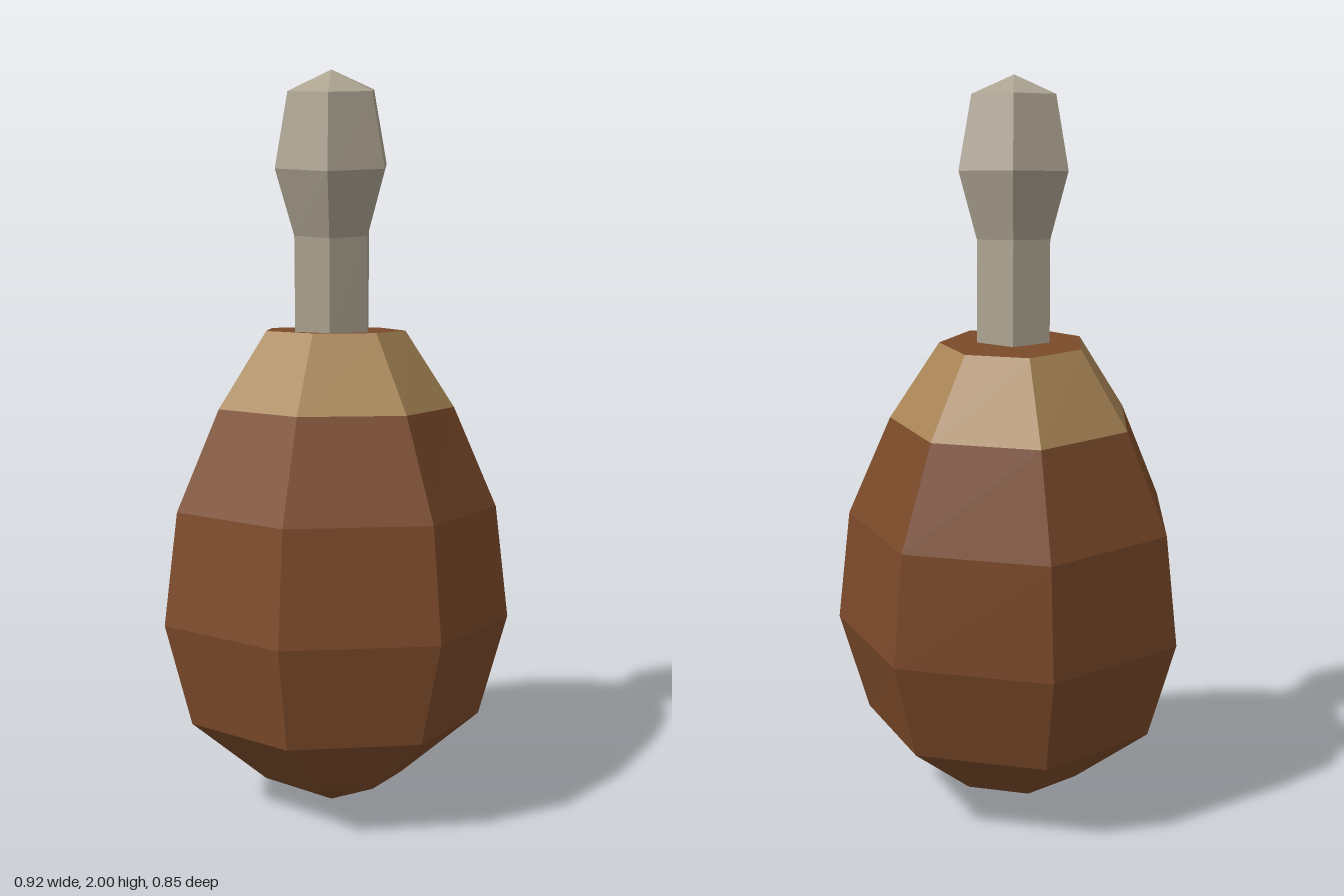
import * as THREE from 'three';

const CENTRE_X = -0.024;

// Flat-shaded loft through tilted rings: [centre y, centre z, radius x, radius z].
// A ring of zero radius closes the end to a point or a flat cap.
function loft(name, rings, { sides, start, tilt, color }) {
  const corner = ([y, z, rx, rz], i) => {
    const a = start + (i % sides) / sides * Math.PI * 2;
    const dz = Math.sin(a) * rz;
    return [CENTRE_X + Math.cos(a) * rx, y + dz * tilt, z + dz];
  };
  const pos = [];
  for (let r = 0; r < rings.length - 1; r++) {
    const low = rings[r], high = rings[r + 1];
    for (let i = 0; i < sides; i++) {
      const a = corner(low, i), b = corner(low, i + 1);
      const c = corner(high, i), d = corner(high, i + 1);
      if (low[2] > 0) pos.push(...a, ...c, ...b);
      if (high[2] > 0) pos.push(...b, ...c, ...d);
    }
  }
  const geo = new THREE.BufferGeometry();
  geo.setAttribute('position', new THREE.Float32BufferAttribute(pos, 3));
  geo.computeVertexNormals();
  const mesh = new THREE.Mesh(geo, new THREE.MeshStandardMaterial({ color, flatShading: true }));
  mesh.name = name;
  return mesh;
}

export function createModel() {
  const group = new THREE.Group();
  group.name = 'bottle';

  const brown = { sides: 7, start: 0, tilt: 0.08, color: 0x7b4a2a };
  const tan = { ...brown, color: 0xa98656 };
  const grey = { sides: 6, start: Math.PI / 2, tilt: -0.05, color: 0xaca391 };

  // Rings shared by the body and its shoulder
  const shoulderLow = [1.11, -0.05, 0.329, 0.3];
  const shoulderTop = [1.315, -0.07, 0.195, 0.175];

  // Leaning, pear-shaped body
  group.add(loft('body', [
    [0, 0.045, 0, 0],
    [0.085, 0.04, 0.195, 0.185],
    [0.26, 0.025, 0.408, 0.374],
    [0.535, 0, 0.484, 0.435],
    [0.84, -0.025, 0.447, 0.405],
    shoulderLow,
  ], brown));

  // Paler band under the mouth, and the flat cap closing it
  group.add(loft('shoulder', [shoulderLow, shoulderTop], tan));
  group.add(loft('mouth', [shoulderTop, [1.315, -0.07, 0, 0]], brown));

  // Faceted stopper with a knob, sunk slightly into the mouth
  group.add(loft('stopper', [
    [1.28, -0.02, 0, 0],
    [1.28, -0.02, 0.11, 0.103],
    [1.58, -0.006, 0.11, 0.101],
    [1.755, 0.003, 0.163, 0.154],
    [1.948, 0.012, 0.125, 0.117],
    [2, 0.015, 0, 0],
  ], grey));

  return group;
}
